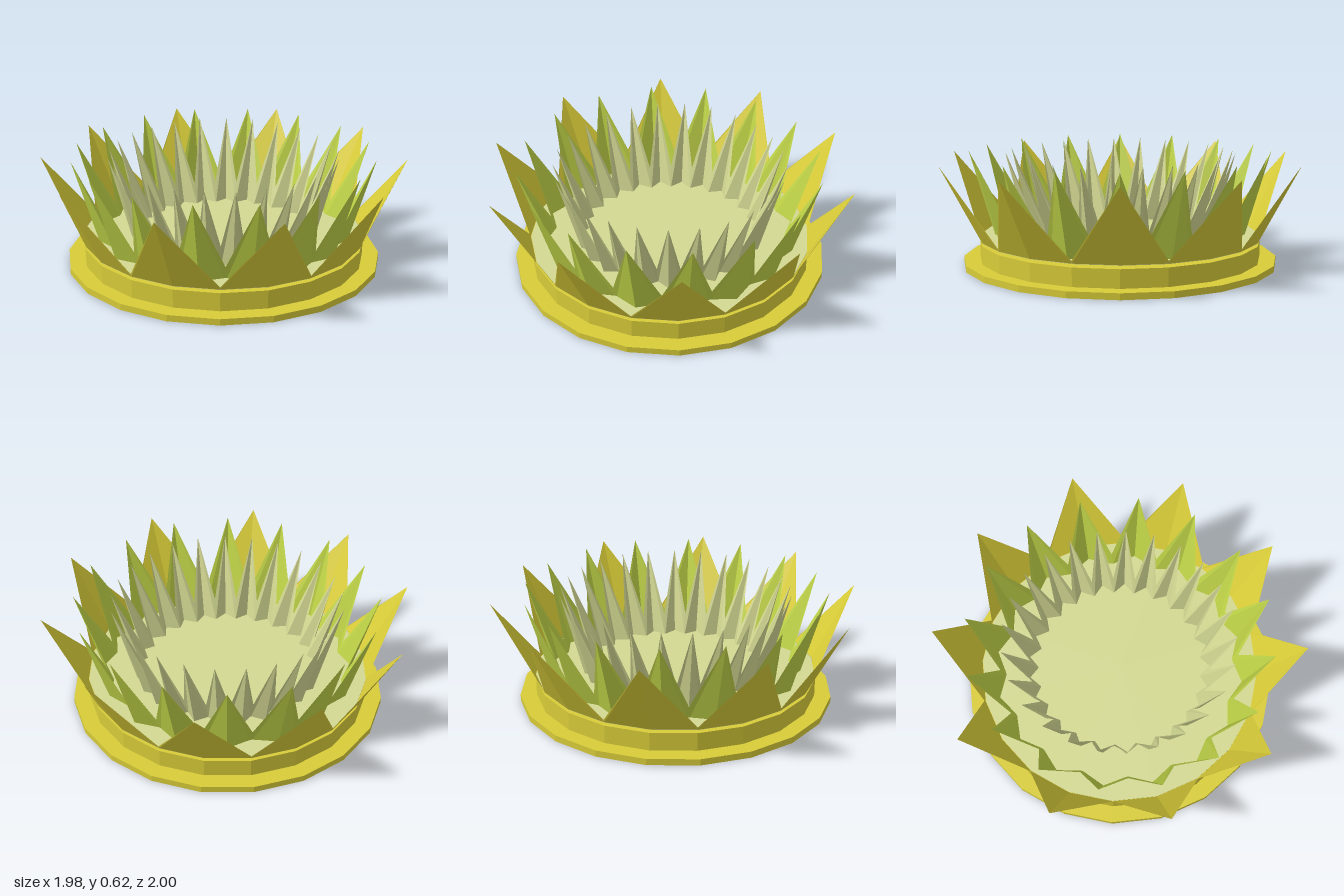
import * as THREE from 'three';

const mat = (name, color) =>
  new THREE.MeshStandardMaterial({ name, color, flatShading: true, side: THREE.DoubleSide });

const rad = THREE.MathUtils.degToRad;

// Point at a given angle from the front, radius and height
const polar = (a, [r, y]) => [r * Math.sin(a), y, r * Math.cos(a)];

// Ring of folded, outward-leaning petals. Each profile entry is [radius, height].
function petalRing(name, material, { count, phase, side, fold, valley, tip }) {
  const positions = [];
  const half = Math.PI / count;
  for (let i = 0; i < count; i++) {
    const a = rad(phase) + i * 2 * half;
    const s0 = polar(a - half, side), s1 = polar(a + half, side);
    const v0 = polar(a - half, valley), v1 = polar(a + half, valley);
    const c = polar(a, fold), t = polar(a, tip);
    for (const p of [s0, c, t, s0, t, v0, c, s1, t, s1, v1, t]) positions.push(...p);
  }
  const geo = new THREE.BufferGeometry();
  geo.setAttribute('position', new THREE.Float32BufferAttribute(positions, 3));
  geo.computeVertexNormals();
  const mesh = new THREE.Mesh(geo, material);
  mesh.name = name;
  return mesh;
}

// Twenty-sided disc, turned to line up with the outer petals
function disc(name, material, r, y0, y1) {
  const geo = new THREE.CylinderGeometry(r, r, y1 - y0, 20);
  geo.rotateY(rad(-6.9));
  geo.translate(0, (y0 + y1) / 2, 0);
  const mesh = new THREE.Mesh(geo, material);
  mesh.name = name;
  return mesh;
}

export function createModel() {
  const yellow = mat('yellow', 0xd8cc38);
  const green = mat('leafGreen', 0xbfd347);
  const pale = mat('paleGreen', 0xd3d892);

  const group = new THREE.Group();
  group.name = 'petalBowl';

  // Stepped base and floor
  group.add(disc('baseDisc', yellow, 0.87, 0, 0.035));
  group.add(disc('baseDrum', yellow, 0.78, 0.035, 0.135));
  group.add(disc('floor', pale, 0.778, 0.152, 0.156));

  // Three rings of petals, from outside to inside
  group.add(petalRing('outerPetals', yellow, {
    count: 10, phase: -6.9,
    side: [0.78, 0.155], fold: [0.78, 0.155], valley: [0.785, 0.17], tip: [1.007, 0.585],
  }));
  group.add(petalRing('middlePetals', green, {
    count: 16, phase: 2,
    side: [0.635, 0.135], fold: [0.69, 0.135], valley: [0.67, 0.23], tip: [0.835, 0.625],
  }));
  group.add(petalRing('innerPetals', pale, {
    count: 25, phase: 3.5,
    side: [0.455, 0.145], fold: [0.51, 0.145], valley: [0.5, 0.27], tip: [0.635, 0.625],
  }));

  return group;
}
